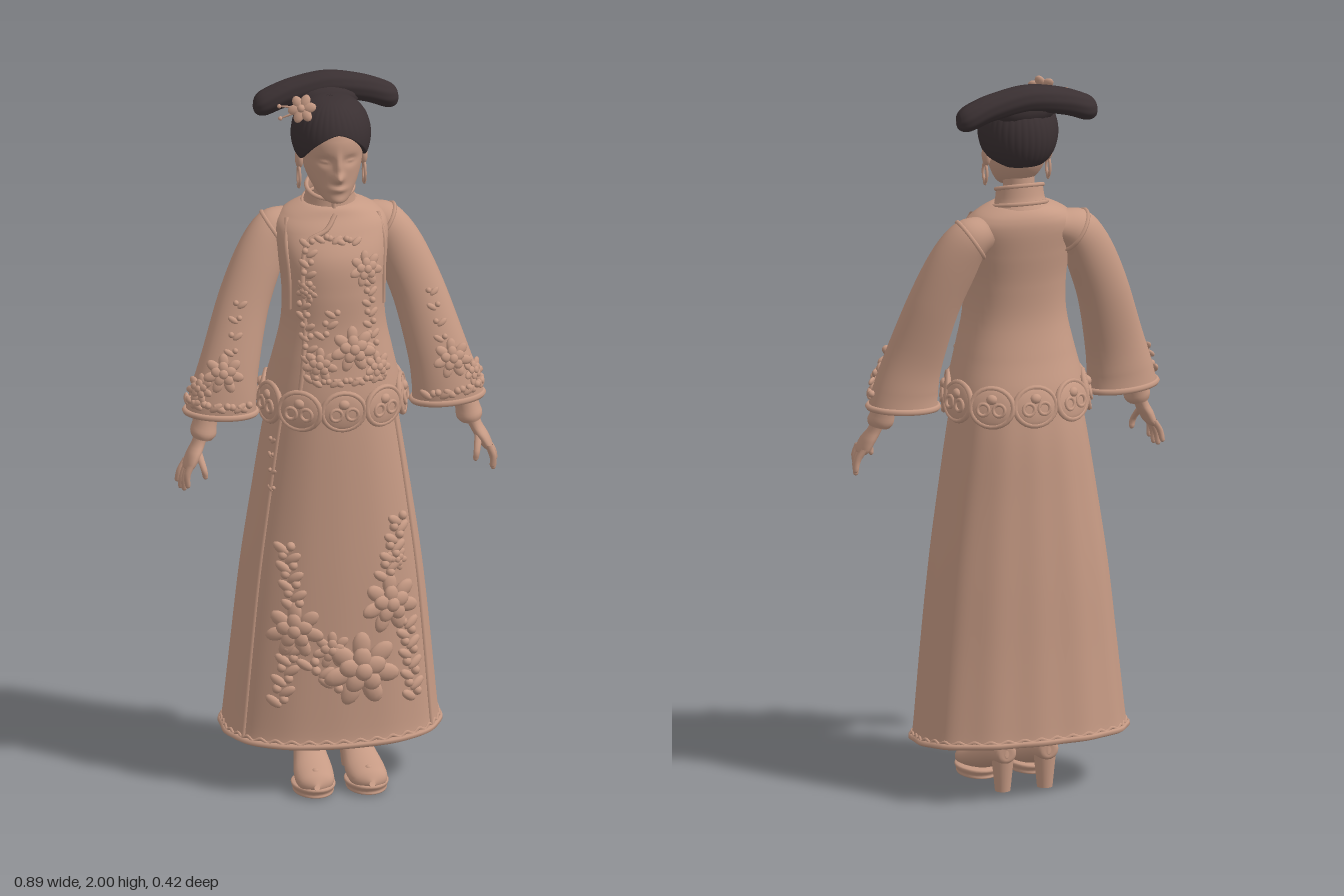
import * as THREE from 'three';
import { ParametricGeometry } from 'three/addons/geometries/ParametricGeometry.js';

const clay = new THREE.MeshStandardMaterial({ color: 0xc69a84, side: THREE.DoubleSide });
clay.name = 'terracotta';
const dark = new THREE.MeshStandardMaterial({ color: 0x3a3032, side: THREE.DoubleSide });
dark.name = 'darkHair';
const ball = new THREE.SphereGeometry(1, 12, 8);
const { sin, cos, PI, abs, exp } = Math;

function mesh(parent, name, geo, mat = clay) {
  const m = new THREE.Mesh(geo, mat);
  m.name = name;
  parent.add(m);
  return m;
}
function blob(parent, name, p, s, rot = 0, mat = clay) {
  const m = mesh(parent, name, ball, mat);
  m.position.set(...p);
  m.scale.set(...s);
  m.rotation.z = rot;
  return m;
}
// Smooth surface through rings, bottom to top: [cx, cy, cz, rx, rz, tilt, zSlope]
function surface(rows, warp) {
  const n = rows.length - 1;
  return (u, v, out = new THREE.Vector3()) => {
    const f = THREE.MathUtils.clamp(v, 0, 1) * n, i = Math.min(Math.floor(f), n - 1), t = f - i;
    const col = (k) => {
      const g = (j) => rows[THREE.MathUtils.clamp(j, 0, n)][k] || 0;
      const a = g(i - 1), b = g(i), c = g(i + 1), d = g(i + 2);
      return b + 0.5 * t * (c - a + t * (2 * a - 5 * b + 4 * c - d + t * (3 * (b - c) + d - a)));
    };
    const a = 2 * PI * u, w = warp ? warp(a, v) : 1;
    const x = col(3) * w * sin(a), z = col(4) * w * cos(a), tilt = col(5);
    return out.set(col(0) + x * cos(tilt), col(1) + x * sin(tilt) + z * col(6), col(2) + z);
  };
}
const loft = (s, nu = 32, nv = 24) => new ParametricGeometry(s, nu, nv);
const mirror = (rows, s) => rows.map((r) => r.map((c, k) => (k === 0 || k === 5 ? c * s : c)));
const body = (list) => list.map(([y, rx, zf, zb]) => [0, y, (zf + zb) / 2, rx, (zf - zb) / 2]);

// Surface coordinates of the front point at a given x and y
function front(s, x, y) {
  const solve = (lo, hi, low) => {
    for (let i = 0; i < 25; i++) { const m = (lo + hi) / 2; if (low(m)) lo = m; else hi = m; }
    return lo;
  };
  const v = solve(0, 1, (m) => s(0, m).y < y);
  return [solve(-0.25, 0.25, (m) => s(m, v).x < x), v];
}
// Group standing on a surface with +z along its normal
function patch(parent, name, s, [u, v]) {
  const g = new THREE.Group(), e = 0.004, p = s(u, v);
  const n = s(u + e, v).sub(s(u - e, v)).cross(s(u, v + e).sub(s(u, v - e))).normalize();
  const right = new THREE.Vector3(0, 1, 0).cross(n).normalize();
  g.quaternion.setFromRotationMatrix(new THREE.Matrix4().makeBasis(right, n.clone().cross(right), n));
  g.position.copy(p);
  g.name = name;
  parent.add(g);
  return g;
}
function seam(parent, name, s, uvs, r, closed = false) {
  const curve = new THREE.CatmullRomCurve3(uvs.map(([u, v]) => s(u, v)), closed);
  return mesh(parent, name, new THREE.TubeGeometry(curve, uvs.length * 5, r, 6, closed), clay);
}
// Raised flower: outer and inner petals around a bud
function blossom(parent, s, uv, r) {
  const g = patch(parent, 'embroideredBlossom', s, uv);
  for (const [n, d, l, z] of [[7, 0.68, 0.4, 0.05], [5, 0.36, 0.32, 0.17]])
    for (let i = 0; i < n; i++) {
      const a = (i / n) * 2 * PI + d;
      blob(g, 'petal', [cos(a) * d * r, sin(a) * d * r, z * r], [l * r, r * 0.26, r * 0.15], a);
    }
  blob(g, 'bud', [0, 0, r * 0.28], [r * 0.25, r * 0.25, r * 0.15]);
}
// Raised sprig: leaves alternating along a line between two surface points
function sprig(parent, s, a, b, n, r) {
  for (let i = 0; i < n; i++) {
    const k = i / (n - 1), side = i % 2 ? 1 : -1;
    const g = patch(parent, 'embroideredSprig', s, [a[0] + (b[0] - a[0]) * k, a[1] + (b[1] - a[1]) * k]);
    blob(g, 'leaf', [side * r * 0.6, 0, 0.002], [r, r * 0.5, r * 0.38], side * 0.6);
    blob(g, 'berry', [-side * r * 0.5, r * 0.3, 0.003], [r * 0.5, r * 0.5, r * 0.5]);
  }
}

function buildSkirt(root) {
  const skirt = surface([[0, 0.155, -0.01, 0.296, 0.186, 0, -0.08], [0, 0.2, -0.01, 0.29, 0.182, 0, -0.06],
    [0, 0.4, -0.004, 0.27, 0.178], [0, 0.62, 0, 0.246, 0.174], [0, 0.83, 0.003, 0.215, 0.166],
    [0, 1.0, 0.005, 0.188, 0.158], [0, 1.13, 0.01, 0.165, 0.145]],
  (a, v) => 1 + 0.05 * sin(2 * a) ** 2 + 0.012 * (1 - v * 0.7) * cos(14 * a) * (0.6 - 0.4 * cos(a)));
  mesh(root, 'skirt', loft(skirt, 112, 30));
  mesh(root, 'skirtLining', loft((u, v, p) => {
    skirt(u, 0, p);
    return p.set(p.x * v, p.y + 0.03 * (1 - v), p.z * v);
  }, 48, 4));
  const loop = (n, f) => Array.from({ length: n }, (_, i) => [i / n, f(i)]);
  seam(root, 'hemPiping', skirt, loop(60, () => 0.005), 0.009, true);
  seam(root, 'hemScrollBorder', skirt, loop(80, (i) => (i % 2 ? 0.05 : 0.1)), 0.005, true);
  for (const s of [-1, 1])
    seam(root, 'panelPiping', skirt, Array.from({ length: 14 }, (_, i) => [s * 0.16, i / 13]), 0.006);
  const at = (x, y) => front(skirt, x, y);
  for (const [x, y, r] of [[-0.13, 0.48, 0.075], [0.13, 0.54, 0.08], [0.05, 0.36, 0.1], [-0.03, 0.42, 0.05], [0.15, 0.66, 0.035]])
    blossom(root, skirt, at(x, y), r);
  for (const [a, b, n] of [[[-0.17, 0.27], [-0.14, 0.42], 6], [[-0.13, 0.55], [-0.15, 0.71], 7],
    [[0.2, 0.26], [0.18, 0.47], 8], [[0.12, 0.62], [0.16, 0.77], 7], [[-0.09, 0.38], [0, 0.3], 4]])
    sprig(root, skirt, at(...a), at(...b), n, 0.026);
  sprig(root, skirt, at(-0.18, 0.87), at(-0.175, 1.0), 4, 0.012);
}

function buildJacket(root) {
  const jacket = surface(body([[1.09, 0.192, 0.18, -0.152], [1.15, 0.182, 0.178, -0.138], [1.23, 0.163, 0.167, -0.112],
    [1.33, 0.142, 0.152, -0.09], [1.43, 0.14, 0.148, -0.092], [1.52, 0.15, 0.136, -0.104],
    [1.59, 0.155, 0.095, -0.112], [1.625, 0.13, 0.068, -0.108], [1.648, 0.085, 0.052, -0.092], [1.655, 0.05, 0.03, -0.07]]),
  (a) => 1 + 0.03 * sin(2 * a) ** 2);
  mesh(root, 'jacket', loft(jacket, 48, 36));
  // Cloud-shaped scallops round the hem
  for (let i = 0; i < 10; i++) {
    const g = patch(root, 'hemScallop', jacket, [i / 10, 0.045]);
    blob(g, 'lobe', [0, 0, 0], [0.062, 0.055, 0.012]);
    mesh(g, 'lobeRim', new THREE.TorusGeometry(0.058, 0.008, 6, 24)).scale.y = 0.9;
    for (const s of [-1, 1]) mesh(g, 'curl', new THREE.TorusGeometry(0.016, 0.005, 6, 14)).position.set(s * 0.022, -0.006, 0.011);
    blob(g, 'hemBud', [0, 0.022, 0.008], [0.016, 0.014, 0.012]);
  }
  const at = (x, y) => front(jacket, x, y);
  seam(root, 'jacketOpening', jacket, [[0, 1.635], [-0.03, 1.6], [-0.08, 1.575], [-0.1, 1.5], [-0.095, 1.35],
    [-0.105, 1.22], [-0.12, 1.11]].map((p) => at(...p)), 0.007);
  for (const s of [-1, 1])
    seam(root, 'vestEdge', jacket, [[0.125, 1.62], [0.135, 1.56], [0.13, 1.48], [0.128, 1.38]].map(([x, y]) => at(s * x, y)), 0.006);
  for (const [x, y, r] of [[0.07, 1.5, 0.048], [0.03, 1.28, 0.06], [-0.06, 1.24, 0.045], [0.1, 1.22, 0.042], [-0.09, 1.44, 0.03]])
    blossom(root, jacket, at(x, y), r);
  for (const [a, b, n] of [[[-0.08, 1.2], [-0.1, 1.4], 8], [[-0.09, 1.46], [-0.08, 1.57], 5], [[0.09, 1.28], [0.08, 1.46], 7],
    [[-0.06, 1.19], [0.11, 1.19], 7], [[-0.05, 1.32], [-0.02, 1.38], 3], [[-0.04, 1.58], [0.04, 1.57], 4]])
    sprig(root, jacket, at(...a), at(...b), n, 0.018);

  // Neck and standing collar
  mesh(root, 'neck', loft(surface([[0, 1.62, -0.02, 0.05, 0.048], [0, 1.68, -0.012, 0.043, 0.043], [0, 1.76, 0, 0.045, 0.05]]), 24, 8));
  const collar = surface([[0, 1.63, -0.018, 0.085, 0.075, 0, -0.25], [0, 1.655, -0.016, 0.07, 0.063, 0, -0.3],
    [0, 1.693, -0.014, 0.064, 0.057, 0, -0.35]]);
  mesh(root, 'collar', loft(collar, 32, 8));
  for (const v of [0.35, 1])
    seam(root, 'collarPiping', collar, Array.from({ length: 24 }, (_, i) => [i / 24, v]), 0.006, true);
  seam(root, 'collarClosure', collar, [[0, 0], [0, 0.5], [0, 1]], 0.007);
}

function buildArm(root, s) {
  const arm = new THREE.Group();
  arm.name = s > 0 ? 'leftArm' : 'rightArm';
  root.add(arm);
  const sleeve = surface(mirror([[0.312, 1.085, 0.045, 0.097, 0.066, 0.06], [0.306, 1.13, 0.045, 0.092, 0.065, 0.1],
    [0.285, 1.22, 0.035, 0.082, 0.062, 0.3], [0.24, 1.38, 0, 0.073, 0.062, 0.45], [0.19, 1.5, -0.025, 0.07, 0.062, 0.7],
    [0.148, 1.565, -0.04, 0.06, 0.058, 1.0], [0.1, 1.585, -0.045, 0.045, 0.048, 1.2]], s));
  mesh(arm, 'sleeve', loft(sleeve, 32, 30));
  mesh(arm, 'sleeveLining', loft((u, v, p) => {
    sleeve(u, 0, p);
    return p.set(s * 0.33 + (p.x - s * 0.33) * v, p.y + 0.025 * (1 - v), 0.05 + (p.z - 0.05) * v);
  }, 24, 3));
  for (const [v, r] of [[0.005, 0.009], [0.83, 0.006]])
    seam(arm, 'sleevePiping', sleeve, Array.from({ length: 24 }, (_, i) => [i / 24, v]), r, true);
  blossom(arm, sleeve, [s * 0.05, 0.31], 0.052);
  blossom(arm, sleeve, [s * 0.16, 0.22], 0.04);
  sprig(arm, sleeve, [-s * 0.1, 0.12], [s * 0.24, 0.13], 7, 0.02);
  sprig(arm, sleeve, [s * 0.03, 0.38], [s * 0.06, 0.5], 4, 0.016);
  // Inner cuff, palm and fingers
  mesh(arm, 'innerCuff', loft(surface(mirror([[0.37, 1.025, 0.078, 0.028, 0.033, 0.2], [0.366, 1.04, 0.076, 0.036, 0.038, 0.2],
    [0.36, 1.07, 0.07, 0.033, 0.036, 0.1], [0.345, 1.13, 0.06, 0.035, 0.036]], s)), 20, 10));
  mesh(arm, 'palm', loft(surface(mirror([[0.414, 0.945, 0.1, 0.006, 0.02], [0.41, 0.955, 0.099, 0.016, 0.037],
    [0.396, 0.985, 0.094, 0.02, 0.037], [0.38, 1.015, 0.084, 0.019, 0.026], [0.368, 1.045, 0.078, 0.02, 0.026]], s)), 20, 12));
  const finger = (name, tip, mid, base) => mesh(arm, name, loft(surface(mirror([[...tip, 0.002, 0.002],
    [tip[0], tip[1] + 0.006, tip[2], 0.007, 0.007], [...mid, 0.009, 0.009], [...base, 0.011, 0.011]], s)), 10, 9));
  for (let i = 0; i < 4; i++) {
    const z = 0.071 + i * 0.019, y = 0.9 - 0.013 * (i === 1 || i === 2);
    finger('finger', [0.437 - i * 0.006, y, z + 0.002], [0.43 - i * 0.003, y + 0.035, z + 0.004], [0.41, 0.965, z]);
  }
  finger('thumb', [0.372, 0.925, 0.138], [0.376, 0.955, 0.136], [0.388, 1.0, 0.1]);
}

function buildHead(root) {
  const bump = (p, x, y, w, h, d) => d * exp(-((p.x - x) ** 2) / (w * w) - ((p.y - y) ** 2) / (h * h));
  const skull = surface(body([[1.68, 0.012, 0.095, 0.06], [1.687, 0.033, 0.106, 0.03], [1.715, 0.056, 0.108, -0.035],
    [1.755, 0.074, 0.108, -0.075], [1.8, 0.083, 0.11, -0.092], [1.86, 0.086, 0.11, -0.095], [1.91, 0.068, 0.085, -0.075], [1.94, 0.01, 0.01, -0.01]]));
  // Face modelled with raised nose, lips, chin and sunken eyes
  mesh(root, 'head', loft((u, v, p) => {
    skull(u, v, p);
    if (cos(2 * PI * u) > 0) {
      p.z += bump(p, 0, 1.758, 0.014, 0.014, 0.022) + bump(p, 0, 1.79, 0.01, 0.03, 0.012)
        + bump(p, 0, 1.724, 0.022, 0.009, 0.009) + bump(p, 0, 1.69, 0.02, 0.012, 0.004);
      for (const s of [-1, 1]) p.z += bump(p, s * 0.035, 1.803, 0.02, 0.014, -0.01) + bump(p, s * 0.036, 1.802, 0.011, 0.006, 0.005);
    }
    return p;
  }, 80, 60));
  for (const s of [-1, 1]) {
    blob(root, 'ear', [s * 0.088, 1.785, 0.005], [0.012, 0.03, 0.019]);
    const hoop = mesh(root, 'earring', new THREE.TorusGeometry(0.016, 0.004, 6, 20));
    hoop.position.set(s * 0.09, 1.735, 0.01);
    hoop.rotation.y = PI / 2;
    hoop.scale.y = 1.6;
    blob(root, 'earringDrop', [s * 0.09, 1.71, 0.01], [0.006, 0.012, 0.006]);
  }
  // Hair cap: hairline high over the brow, low at the nape
  mesh(root, 'hairCap', loft((u, v, p) => {
    const a = 2 * PI * u, c = cos(a);
    const line = c > 0 ? 1.785 + 0.095 * c * c * (1 - 0.1 * abs(sin(a))) : 1.785 - 0.035 * c * c;
    const k = Math.max(0, (v - 0.12) / 0.88), phi0 = Math.asin((line - 1.85) / 0.105), phi = phi0 + (PI / 2 - phi0) * k;
    const r = Math.pow(Math.max(cos(phi), 0), 0.75) * (v < 0.12 ? 0.82 + 1.5 * v : 1) * (1 + 0.006 * cos(36 * a) * sin(PI * k));
    return p.set(0.108 * r * sin(a), 1.85 + 0.105 * sin(phi), -0.001 + 0.117 * r * c);
  }, 108, 28), dark);
  // Wide crescent bun
  const bun = loft(surface([[-1.912, -0.2, -0.075, 0.004, 0.004], [-1.915, -0.192, -0.075, 0.025, 0.024], [-1.922, -0.165, -0.076, 0.037, 0.036],
    [-1.945, -0.1, -0.077, 0.038, 0.037], [-1.961, 0, -0.078, 0.038, 0.037], [-1.945, 0.1, -0.077, 0.038, 0.037],
    [-1.922, 0.165, -0.076, 0.037, 0.036], [-1.915, 0.192, -0.075, 0.025, 0.024], [-1.912, 0.2, -0.075, 0.004, 0.004]],
  (a, v) => 1 + 0.012 * cos(10 * a + 14 * v)), 60, 48);
  bun.rotateZ(-PI / 2);
  mesh(root, 'hairBun', bun, dark);
  blob(root, 'bunBase', [0, 1.925, -0.06], [0.09, 0.045, 0.045], 0, dark);
  // Hair flower with two pins
  const pin = new THREE.Group();
  pin.name = 'hairFlower';
  pin.position.set(-0.09, 1.945, 0.055);
  pin.rotation.set(-0.5, -0.5, 0);
  root.add(pin);
  for (let i = 0; i < 6; i++) {
    const a = (i / 6) * 2 * PI;
    blob(pin, 'petal', [cos(a) * 0.021, sin(a) * 0.021, 0], [0.02, 0.014, 0.008], a);
  }
  blob(pin, 'flowerCentre', [0, 0, 0.009], [0.011, 0.011, 0.01]);
  for (const y of [0.01, -0.012]) {
    blob(pin, 'pinStem', [-0.038, y, 0], [0.028, 0.003, 0.003], -y * 20);
    blob(pin, 'pinBead', [-0.064, y * 1.5, 0], [0.006, 0.006, 0.006]);
  }
}

function buildFoot(root, s) {
  const upper = loft(surface(mirror([[0.06, -0.086, -0.11, 0.005, 0.01], [0.06, -0.08, -0.112, 0.028, 0.028], [0.062, -0.03, -0.1, 0.038, 0.034],
    [0.066, 0.04, -0.076, 0.044, 0.036], [0.071, 0.12, -0.048, 0.054, 0.034], [0.074, 0.175, -0.038, 0.046, 0.028], [0.076, 0.2, -0.034, 0.008, 0.008]], s)), 28, 28);
  upper.rotateX(PI / 2);
  mesh(root, 'shoeUpper', upper);
  const sole = [[0, 0.002, 0.002], [0.001, 0.05, 0.068], [0.012, 0.055, 0.073], [0.028, 0.057, 0.075], [0.03, 0.01, 0.01]];
  mesh(root, 'platformSole', loft(surface(sole.map(([y, rx, rz]) => [s * 0.073, y, 0.125, rx, rz])), 28, 16));
  mesh(root, 'shoeHeel', new THREE.CylinderGeometry(0.031, 0.021, 0.1, 20)).position.set(s * 0.06, 0.05, -0.05);
  mesh(root, 'ankle', loft(surface([[s * 0.061, 0.1, -0.04, 0.036, 0.042], [s * 0.061, 0.14, -0.045, 0.03, 0.034], [s * 0.061, 0.26, -0.04, 0.036, 0.04]]), 20, 8));
  for (let i = 0; i < 5; i++)
    blob(root, 'shoeBead', [s * 0.073 + (i - 2) * 0.018, 0.066 - abs(i - 2) * 0.006, 0.158 - abs(i - 2) * 0.006], [0.011, 0.009, 0.01]);
}

export function createModel() {
  const root = new THREE.Group();
  root.name = 'robedWoman';
  buildSkirt(root);
  buildJacket(root);
  buildHead(root);
  for (const s of [-1, 1]) {
    buildArm(root, s);
    buildFoot(root, s);
  }
  return root;
}
